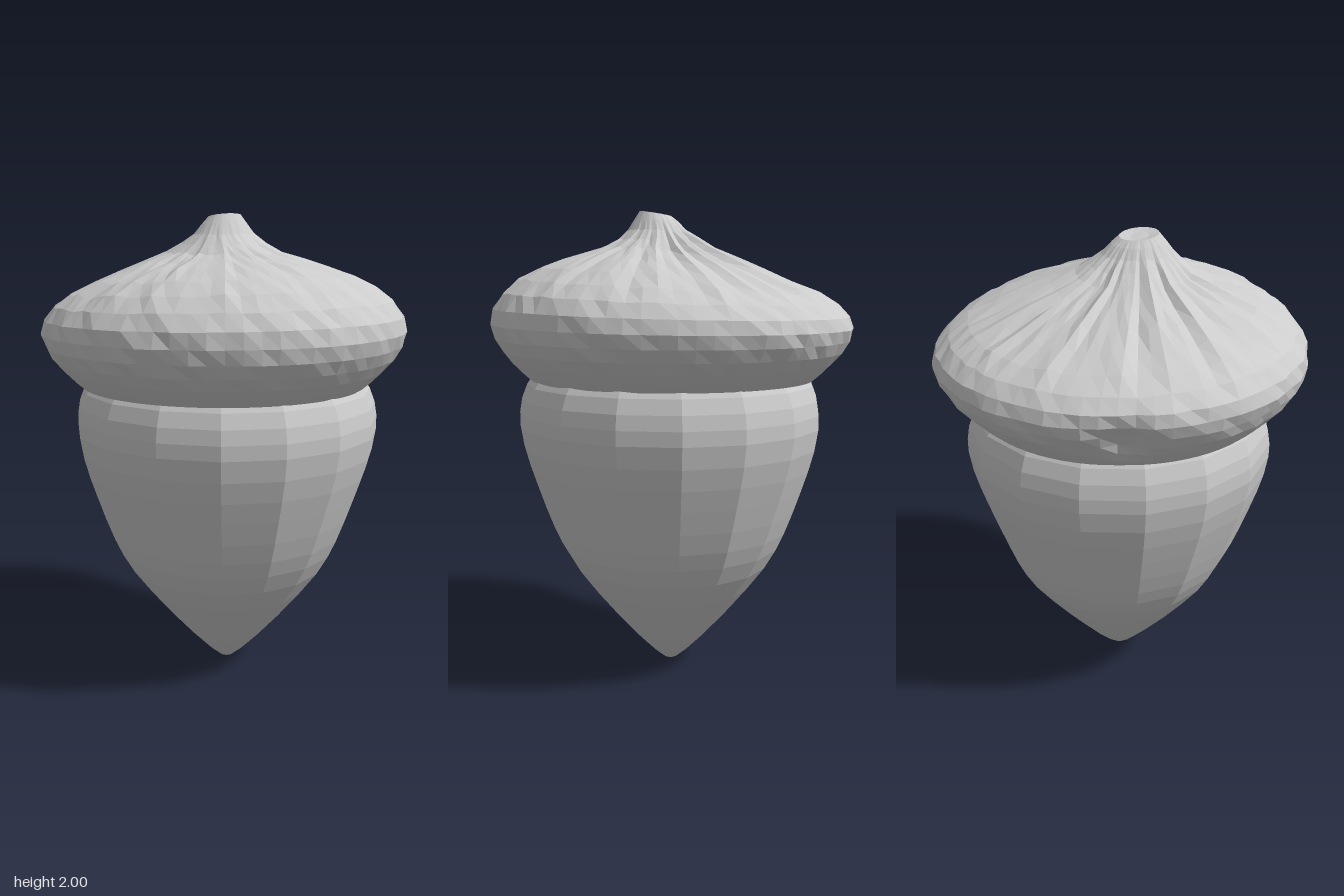
import * as THREE from 'three';

const material = new THREE.MeshStandardMaterial({ color: 0xcccccc, flatShading: true, side: THREE.DoubleSide });

// Repeatable pseudo-random value in -1..1
const noise = (i, j) => {
  const s = Math.sin(i * 12.9898 + j * 78.233) * 43758.5453;
  return (s - Math.floor(s)) * 2 - 1;
};

// Faceted nut: 16-sided, pointed at the bottom, closed inside the cap
function createNut() {
  const profile = [
    [0, 0], [0.03, 0.013], [0.075, 0.05], [0.15, 0.125], [0.25, 0.235], [0.35, 0.355],
    [0.43, 0.46], [0.48, 0.545], [0.515, 0.62], [0.55, 0.71], [0.585, 0.81], [0.615, 0.9],
    [0.64, 0.99], [0.655, 1.08], [0.655, 1.14], [0.645, 1.2], [0.622, 1.26], [0.58, 1.32],
    [0.4, 1.42], [0, 1.47],
  ].map(([r, y]) => new THREE.Vector2(r, y));
  const nut = new THREE.Mesh(new THREE.LatheGeometry(profile, 16), material);
  nut.name = 'nut';
  nut.position.set(0.012, 0, -0.005);
  return nut;
}

// Cap: each row holds radius, height on the full side, height on the sloping side
function createCap() {
  const rows = [
    [0.5, 1.3, 1.3], [0.61, 1.28, 1.28], [0.645, 1.31, 1.31], [0.69, 1.355, 1.355],
    [0.73, 1.405, 1.4], [0.76, 1.46, 1.45], [0.775, 1.52, 1.5], [0.763, 1.585, 1.55],
    [0.715, 1.65, 1.6], [0.64, 1.708, 1.645], [0.54, 1.757, 1.69], [0.43, 1.792, 1.74],
    [0.33, 1.817, 1.785], [0.24, 1.842, 1.83], [0.17, 1.875, 1.87], [0.12, 1.915, 1.91],
    [0.09, 1.96, 1.95], [0.065, 1.998, 1.975], [0.03, 1.985, 1.97], [0, 1.98, 1.98],
  ];
  const segments = 72;
  const geometry = new THREE.LatheGeometry(rows.map(([r, y]) => new THREE.Vector2(r, y)), segments);
  const position = geometry.attributes.position;
  const fullSide = Math.atan2(0.8, 0.6);
  const dentAngle = -Math.PI / 2 - 0.15;

  for (let k = 0; k < position.count; k++) {
    const i = Math.floor(k / rows.length) % segments;
    const j = k % rows.length;
    const [radius, high, low] = rows[j];
    const a = (i / segments) * Math.PI * 2;
    const slope = 0.5 - 0.5 * Math.cos(a - fullSide);
    let r = radius;
    let y = THREE.MathUtils.lerp(high, low, slope);

    if (j > 3 && j < rows.length - 1) {
      // Small dents, and radial wrinkles strongest on the sloping side
      r *= 1 + 0.008 * noise(i, j);
      const folds = Math.sin(17 * a + 1) + 0.8 * Math.sin(29 * a + 2.3) + 0.5 * noise(i, 1);
      const onTop = THREE.MathUtils.smoothstep(y, 1.55, 1.72) * THREE.MathUtils.smoothstep(radius, 0.05, 0.2);
      y += onTop * (folds * (0.003 + 0.007 * slope) + 0.004 * noise(i + 5, j));
    }
    // Pinched fold in the rim
    const away = Math.atan2(Math.sin(a - dentAngle), Math.cos(a - dentAngle));
    r -= 0.06 * Math.exp(-((away / 0.13) ** 2) - (((y - 1.43) / 0.09) ** 2));
    // Off-centre stem, slightly longer front to back
    const lean = radius < 0.775 && j > 6 ? 1 - radius / 0.775 : 0;
    const stretch = 1 + 0.25 * (1 - THREE.MathUtils.smoothstep(radius, 0.1, 0.25));
    position.setXYZ(k, r * Math.sin(a) + 0.045 * lean, y, r * Math.cos(a) * stretch + 0.09 * lean);
  }
  geometry.computeVertexNormals();
  const cap = new THREE.Mesh(geometry, material);
  cap.name = 'cap';
  return cap;
}

export function createModel() {
  const acorn = new THREE.Group();
  acorn.name = 'acorn';
  acorn.add(createNut(), createCap());
  return acorn;
}
